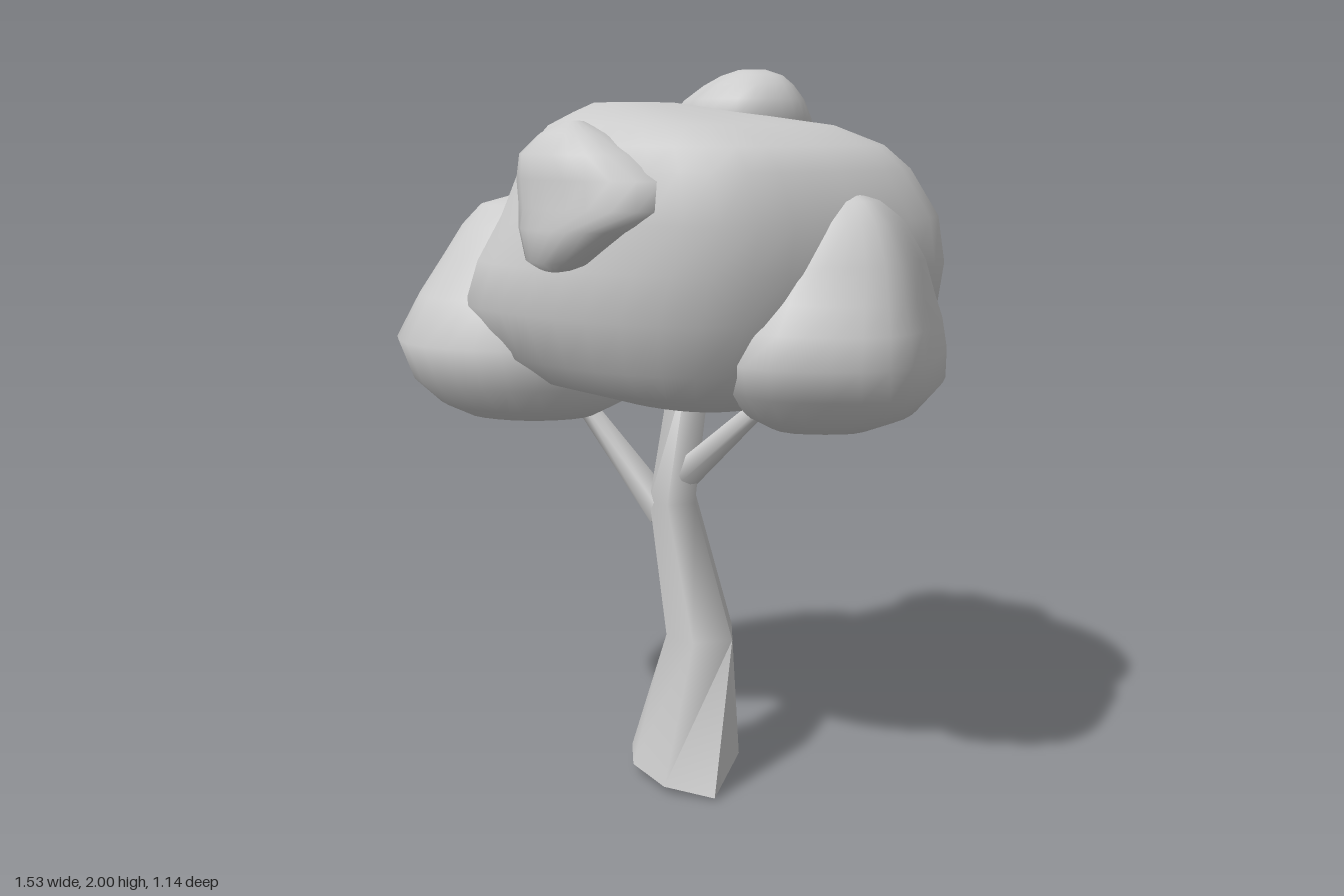
import * as THREE from 'three';
import { mergeVertices, toCreasedNormals } from 'three/addons/utils/BufferGeometryUtils.js';

const grey = new THREE.MeshStandardMaterial({ color: 0xcccccc });
grey.name = 'pale grey';

// Rounds a closed [x, z] outline into n points
function smoothOutline(points, n = 28) {
  const curve = new THREE.CatmullRomCurve3(points.map(([x, z]) => new THREE.Vector3(x, 0, z)), true);
  return curve.getSpacedPoints(n).slice(0, n).map((p) => [p.x, p.z]);
}

// Fits an outline into the given x and z range
function fitOutline(outline, xa, xb, za, zb) {
  const xs = outline.map((p) => p[0]), zs = outline.map((p) => p[1]);
  const x0 = Math.min(...xs), z0 = Math.min(...zs);
  const w = Math.max(...xs) - x0, d = Math.max(...zs) - z0;
  return outline.map(([x, z]) => [xa + ((x - x0) / w) * (xb - xa), za + ((z - z0) / d) * (zb - za)]);
}

// Skins a stack of equal-sized [x, y, z] rings and closes both ends
function skin(rings) {
  const n = rings[0].length, index = [];
  const cap = (ring) => {
    const c = [0, 1, 2].map((k) => ring.reduce((s, p) => s + p[k], 0) / n);
    return ring.map(() => c);
  };
  const all = [cap(rings[0]), ...rings, cap(rings[rings.length - 1])];
  for (let k = 0; k < all.length - 1; k++) {
    for (let i = 0; i < n; i++) {
      const a = k * n + i, b = k * n + ((i + 1) % n);
      index.push(a, a + n, b, b, a + n, b + n);
    }
  }
  const g = new THREE.BufferGeometry();
  g.setAttribute('position', new THREE.Float32BufferAttribute(all.flat(2), 3));
  g.setIndex(index);
  const merged = mergeVertices(g, 1e-4);
  merged.computeVertexNormals();
  return merged;
}

// Stacks one outline through levels [y, xMin, xMax, zMin, zMax]
const loft = (outline, levels) => skin(levels.map(([y, ...range]) =>
  fitOutline(outline, ...range).map(([x, z]) => [x, y, z])));

export function createModel() {
  const tree = new THREE.Group();
  tree.name = 'tree';
  const add = (name, geometry) => {
    const mesh = new THREE.Mesh(geometry, grey);
    mesh.name = name;
    tree.add(mesh);
    return mesh;
  };

  // Bent trunk: an irregular slanting foot below round five-sided rings
  const foot = [[0.21, -0.12], [0.165, 0.2], [0.02, 0.18], [-0.083, 0.07], [-0.105, -0.06]];
  const pentagon = [-45, 35, 100, 160, 220].map((deg) => {
    const t = THREE.MathUtils.degToRad(deg);
    return [Math.cos(t), Math.sin(t)];
  });
  const trunkRing = (y, ...range) => fitOutline(pentagon, ...range).map(([x, z]) => [x, y, z]);
  add('trunk', toCreasedNormals(skin([
    foot.map(([x, z]) => [x, 0.03 - 0.12 * x, z]),
    trunkRing(0.43, 0.01, 0.2, -0.07, 0.11),
    trunkRing(0.82, -0.04, 0.09, -0.06, 0.08),
    trunkRing(1.2, 0.02, 0.13, -0.04, 0.05),
  ]), 1.45));

  // Tapering branches
  const branch = (name, from, to, r0, r1) => {
    const a = new THREE.Vector3(...from), b = new THREE.Vector3(...to);
    const g = new THREE.CylinderGeometry(r1, r0, a.distanceTo(b), 5);
    const mesh = add(name, toCreasedNormals(g, 1.4));
    mesh.position.copy(a).lerp(b, 0.5);
    mesh.quaternion.setFromUnitVectors(new THREE.Vector3(0, 1, 0), b.sub(a).normalize());
  };
  branch('rightBranch', [0, 0.78, 0], [-0.26, 1.1, -0.08], 0.05, 0.026);
  branch('leftBranch', [0.06, 0.9, 0.03], [0.31, 1.15, 0.11], 0.045, 0.022);

  // Large central crown
  add('mainCrown', loft(smoothOutline([
    [0.17, -0.575], [0.45, -0.37], [0.72, -0.1], [0.75, 0.1], [0.61, 0.31], [0.45, 0.44], [0.27, 0.54], [0.1, 0.56],
    [-0.15, 0.48], [-0.42, 0.28], [-0.52, 0.12], [-0.42, -0.12], [-0.2, -0.42], [0, -0.55],
  ], 36), [
    [1.11, 0.02, 0.24, -0.15, 0.12],
    [1.125, -0.15, 0.4, -0.32, 0.28],
    [1.18, -0.36, 0.55, -0.47, 0.43],
    [1.25, -0.47, 0.65, -0.53, 0.49],
    [1.38, -0.53, 0.73, -0.55, 0.54],
    [1.5, -0.49, 0.745, -0.565, 0.56],
    [1.62, -0.42, 0.725, -0.57, 0.57],
    [1.74, -0.37, 0.65, -0.56, 0.555],
    [1.8, -0.34, 0.58, -0.52, 0.51],
    [1.85, -0.3, 0.45, -0.45, 0.42],
    [1.885, -0.25, 0.2, -0.34, 0.2],
    [1.91, -0.2, 0.02, -0.2, 0.06],
  ]));

  // Low crown on the -x side
  add('rightCrown', loft(smoothOutline([
    [-0.3, -0.48], [-0.15, -0.43], [-0.05, -0.15], [-0.1, 0.12], [-0.28, 0.24],
    [-0.48, 0.25], [-0.68, 0.15], [-0.77, -0.05], [-0.73, -0.22], [-0.55, -0.38],
  ]), [
    [1.035, -0.5, -0.35, -0.15, 0],
    [1.05, -0.58, -0.2, -0.25, 0.08],
    [1.09, -0.66, -0.12, -0.4, 0.17],
    [1.16, -0.73, -0.08, -0.46, 0.24],
    [1.27, -0.77, -0.08, -0.48, 0.265],
    [1.39, -0.71, -0.1, -0.46, 0.2],
    [1.5, -0.64, -0.12, -0.43, 0.14],
    [1.58, -0.59, -0.15, -0.39, 0.09],
    [1.635, -0.54, -0.22, -0.34, 0.02],
    [1.66, -0.45, -0.34, -0.24, -0.1],
  ]));

  // Low crown on the +x side, leaning forward
  add('leftCrown', loft(smoothOutline([
    [0.72, -0.1], [0.76, 0.02], [0.75, 0.18], [0.69, 0.4], [0.61, 0.51], [0.45, 0.55],
    [0.28, 0.53], [0.19, 0.4], [0.22, 0.1], [0.48, -0.14],
  ]), [
    [1.08, 0.36, 0.5, 0.15, 0.3],
    [1.095, 0.3, 0.6, 0, 0.38],
    [1.13, 0.24, 0.7, -0.1, 0.45],
    [1.2, 0.19, 0.76, -0.14, 0.52],
    [1.28, 0.18, 0.76, -0.15, 0.55],
    [1.36, 0.21, 0.745, -0.13, 0.54],
    [1.43, 0.25, 0.72, -0.08, 0.51],
    [1.52, 0.3, 0.69, 0.06, 0.48],
    [1.62, 0.36, 0.63, 0.18, 0.45],
    [1.67, 0.41, 0.57, 0.24, 0.4],
    [1.69, 0.45, 0.52, 0.29, 0.36],
  ]));

  // Small front tuft
  add('frontTuft', loft(smoothOutline([
    [0.06, 0.3], [0.09, 0.48], [0.03, 0.56], [-0.12, 0.55], [-0.28, 0.43], [-0.33, 0.3], [-0.22, 0.2], [-0.08, 0.2],
  ], 20), [
    [1.49, -0.26, -0.17, 0.34, 0.42],
    [1.52, -0.31, -0.12, 0.26, 0.5],
    [1.6, -0.33, -0.01, 0.2, 0.555],
    [1.65, -0.33, 0.09, 0.18, 0.565],
    [1.72, -0.335, 0.09, 0.18, 0.56],
    [1.78, -0.33, -0.01, 0.18, 0.52],
    [1.83, -0.28, -0.1, 0.2, 0.44],
    [1.86, -0.22, -0.17, 0.24, 0.34],
  ]));

  // Dome on top
  add('topTuft', loft(smoothOutline([
    [0.04, -0.2], [0, -0.34], [0.05, -0.45], [0.2, -0.43],
    [0.36, -0.36], [0.4, -0.26], [0.37, -0.1], [0.22, 0.02], [0.09, -0.05],
  ]), [
    [1.75, 0, 0.37, -0.44, -0.03],
    [1.81, -0.02, 0.395, -0.45, 0],
    [1.87, -0.02, 0.385, -0.43, 0.02],
    [1.92, 0.02, 0.365, -0.38, 0],
    [1.96, 0.08, 0.335, -0.31, -0.05],
    [1.985, 0.13, 0.305, -0.26, -0.1],
    [2, 0.18, 0.26, -0.21, -0.15],
  ]));

  // Small lump at the upper back
  const lump = add('backTuft', new THREE.SphereGeometry(1, 16, 12));
  lump.scale.set(0.14, 0.13, 0.13);
  lump.position.set(0.01, 1.77, -0.39);

  return tree;
}
